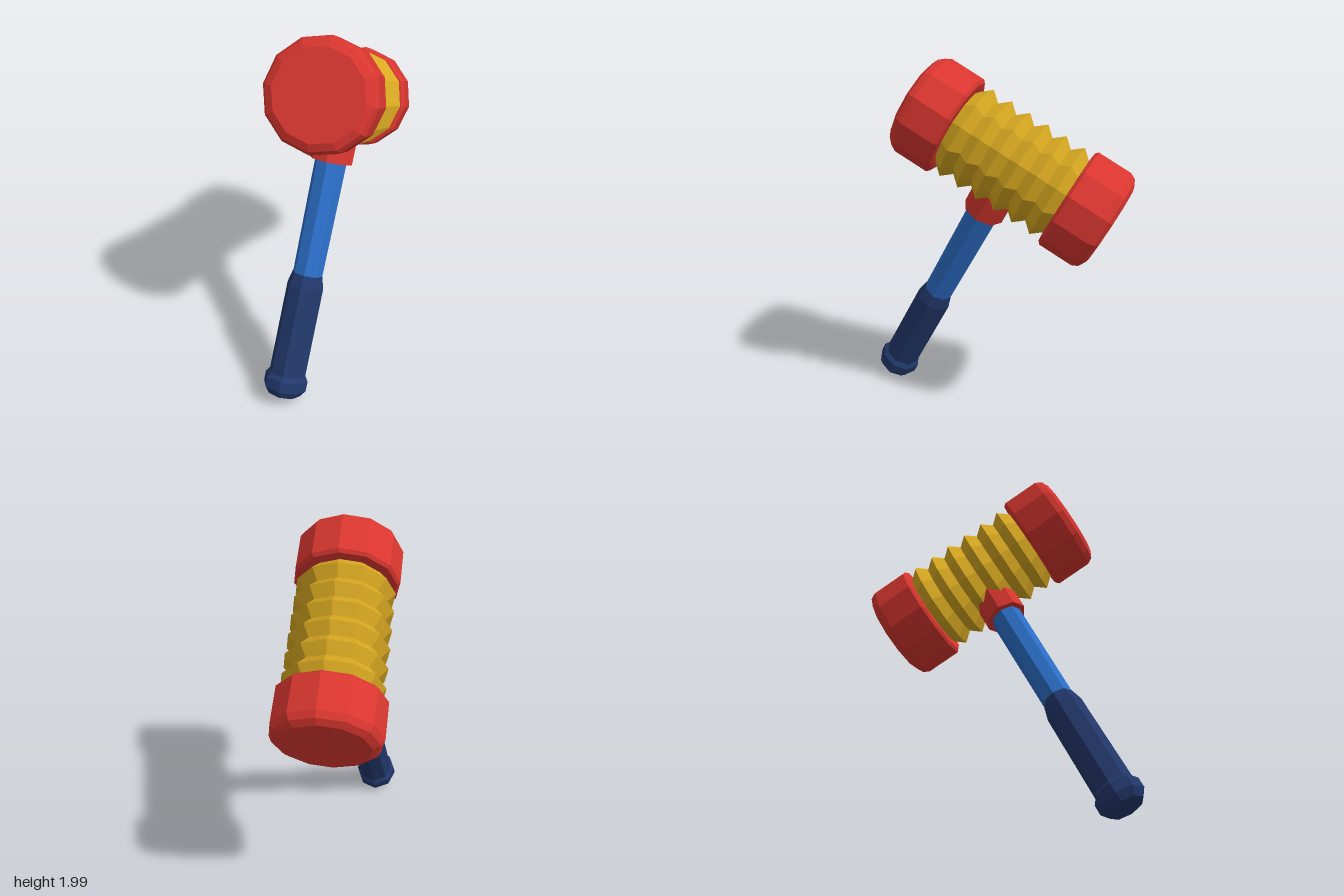
import * as THREE from 'three';

const material = (name, color) => {
  const m = new THREE.MeshStandardMaterial({ color, flatShading: true });
  m.name = name;
  return m;
};

// Faceted solid of revolution; profile points are [radius, height], bottom to top
function turned(name, profile, sides, mat) {
  const points = profile.map(([r, h]) => new THREE.Vector2(r, h));
  const mesh = new THREE.Mesh(new THREE.LatheGeometry(points, sides), mat);
  mesh.name = name;
  return mesh;
}

export function createModel() {
  const red = material('red', 0xd9362f);
  const yellow = material('yellow', 0xd9a921);
  const blue = material('blue', 0x2c6fc9);
  const navy = material('navy', 0x22386b);

  // Upright mallet: handle along y, head along z, origin at the head centre
  const mallet = new THREE.Group();
  mallet.name = 'mallet';

  // Striking caps at both ends of the head
  const capProfile = [
    [0, 0.333], [0.24, 0.333], [0.264, 0.335], [0.28, 0.35],
    [0.28, 0.545], [0.263, 0.578], [0.225, 0.598], [0, 0.598],
  ];
  for (const [name, side] of [['frontCap', 1], ['backCap', -1]]) {
    const cap = turned(name, capProfile, 12, red);
    cap.rotation.x = side * Math.PI / 2;
    mallet.add(cap);
  }

  // Pleated middle: six ridges between seven valleys
  const pleats = 6, pitch = 0.111;
  const bellowsProfile = [];
  for (let i = 0; i <= pleats * 2; i++) {
    bellowsProfile.push([i % 2 ? 0.262 : 0.215, (i / 2 - pleats / 2) * pitch]);
  }
  bellowsProfile.unshift([0.215, -0.36]);
  bellowsProfile.push([0.215, 0.36]);
  const bellows = turned('bellows', bellowsProfile, 12, yellow);
  bellows.rotation.x = Math.PI / 2;
  mallet.add(bellows);

  // Collar, shaft and grip with its flared end
  mallet.add(
    turned('collar', [[0, -0.345], [0.115, -0.345], [0.115, -0.19], [0, -0.19]], 8, red),
    turned('shaft', [[0.081, -1.02], [0.086, -0.3]], 8, blue),
    turned('grip', [
      [0, -1.648], [0.092, -1.648], [0.12, -1.61], [0.12, -1.555], [0.101, -1.53],
      [0.1, -1.035], [0.083, -0.965], [0, -0.965],
    ], 8, navy),
  );

  // Lean the whole mallet back and slightly to the side
  mallet.rotation.set(-0.499, 0, -0.082, 'ZYX');
  mallet.position.set(-0.002, 1.496, -0.126);

  const model = new THREE.Group();
  model.name = 'toyMallet';
  model.add(mallet);
  return model;
}
